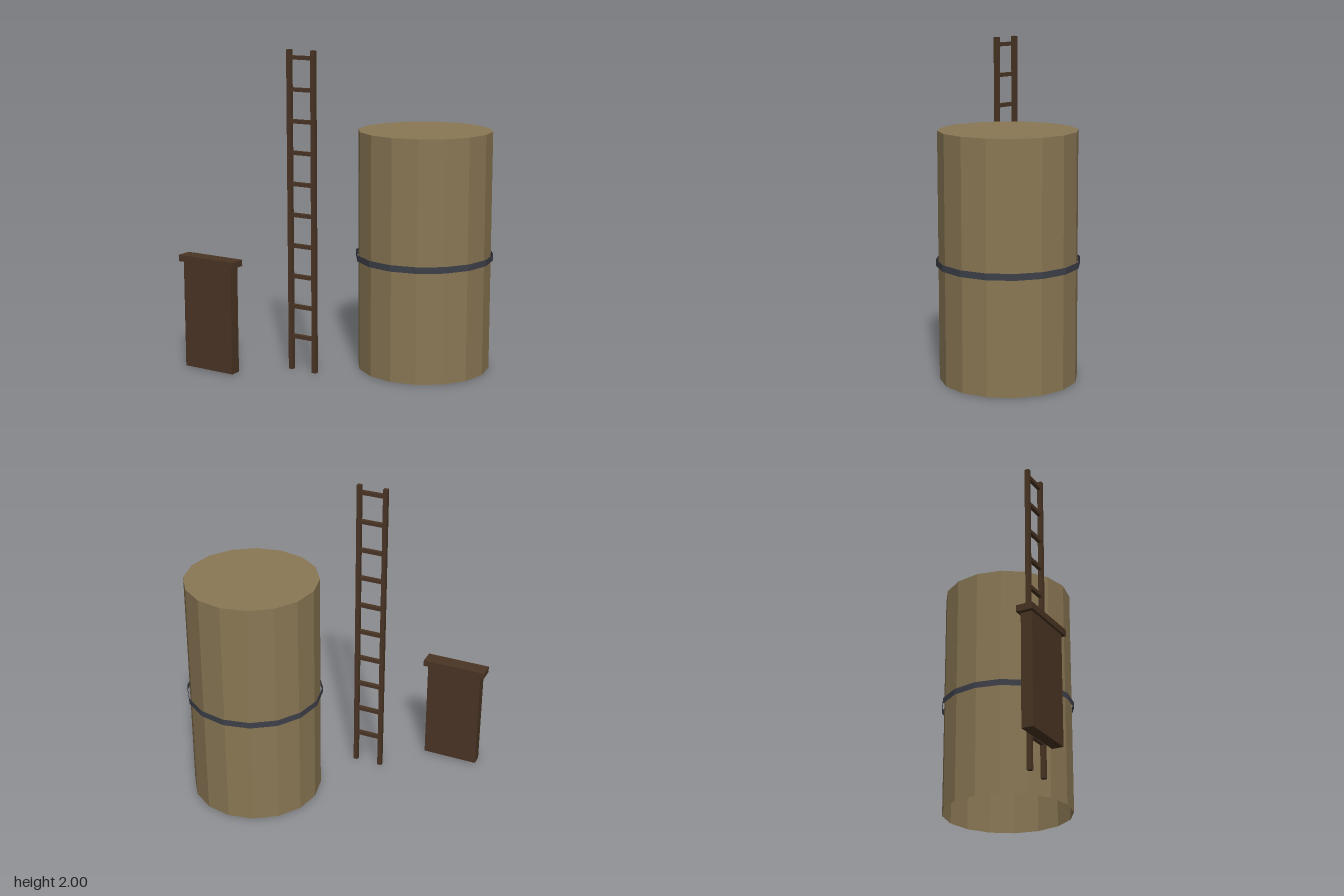
import * as THREE from 'three';

export function createModel() {
  const model = new THREE.Group();
  const material = (name, color, extra = {}) =>
    Object.assign(new THREE.MeshStandardMaterial({ color, flatShading: true, ...extra }), { name });
  const wood = material('darkWood', 0x4a3524);
  const cladding = material('tanCladding', 0x8b7855, { side: THREE.DoubleSide });
  const iron = material('darkIron', 0x3e404a, { side: THREE.DoubleSide });

  const add = (parent, name, geometry, mat, x, y, z) => {
    const mesh = new THREE.Mesh(geometry, mat);
    mesh.name = name;
    mesh.position.set(x, y, z);
    parent.add(mesh);
    return mesh;
  };
  const group = (name, x, z) => {
    const g = new THREE.Group();
    g.name = name;
    g.position.set(x, 0, z);
    model.add(g);
    return g;
  };

  // Sixteen-sided tank: open underneath, flat lid, loose hoop around the middle
  const sides = 16, radius = 0.415, height = 1.5;
  const tank = group('tank', 0.42, -0.207);
  add(tank, 'tankWall', new THREE.CylinderGeometry(radius, radius, height, sides, 1, true), cladding, 0, height / 2, 0);
  add(tank, 'tankLid', new THREE.CircleGeometry(radius, sides).rotateX(-Math.PI / 2), cladding, 0, height, 0);
  add(tank, 'hoop', new THREE.CylinderGeometry(0.43, 0.43, 0.04, sides, 1, true), iron, 0, 0.715, 0);

  // Ladder: two rails and ten evenly spaced rungs
  const ladder = group('ladder', -0.157, 0.297);
  for (const side of [-1, 1]) {
    add(ladder, side < 0 ? 'rightRail' : 'leftRail', new THREE.BoxGeometry(0.028, 2, 0.028), wood, side * 0.086, 1, 0);
  }
  for (let i = 0; i < 10; i++) {
    add(ladder, 'rung', new THREE.BoxGeometry(0.172, 0.024, 0.024), wood, 0, 0.216 + i * 0.193, 0);
  }

  // Door slab with an overhanging lintel
  const door = group('door', -0.648, 0.587);
  add(door, 'doorPanel', new THREE.BoxGeometry(0.36, 0.675, 0.07), wood, 0, 0.3475, 0);
  add(door, 'lintel', new THREE.BoxGeometry(0.414, 0.04, 0.1), wood, 0, 0.705, 0);

  return model;
}
